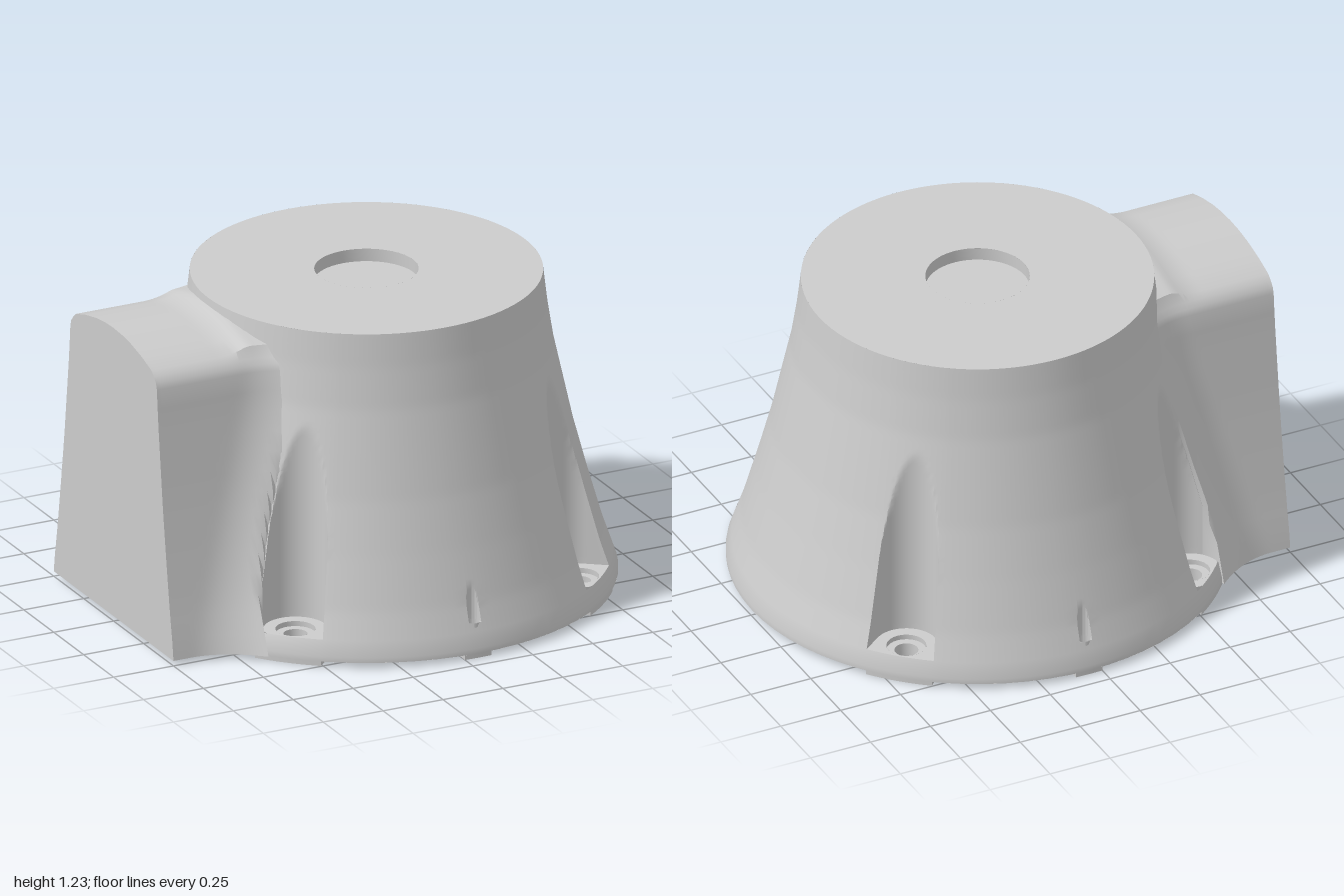
import * as THREE from 'three';
import { toCreasedNormals } from 'three/addons/utils/BufferGeometryUtils.js';

const CX = 0.055, BASE = 0.02, TOP = 1.23, RIM = 0.94;
const PROFILE = [[0.02, 0.94], [0.04, 0.94], [0.2, 0.885], [0.4, 0.828], [0.6, 0.775], [0.94, 0.7], [1.1, 0.675], [1.23, 0.66]];

// Radius of the flared body at height y
function radiusAt(y) {
  for (let i = 1; i < PROFILE.length; i++) {
    const [y0, r0] = PROFILE[i - 1], [y1, r1] = PROFILE[i];
    if (y <= y1) return r0 + (r1 - r0) * (y - y0) / (y1 - y0);
  }
  return PROFILE[PROFILE.length - 1][1];
}

// Vertical bores: four screw pockets and two small pin holes
const screws = [1, 3, 5, 7].map(k => ({ a: k * Math.PI / 4, d: 0.837, R: 0.12, hole: 0.045, pad: 0.13, y: 0.1, level: 1 }));
const pins = [1, 3].map(k => ({ a: k * Math.PI / 2, d: 0.89, R: 0.025, hole: 0.025, pad: 0.055, y: 0.13, level: 2 }));
const bores = [...screws, ...pins];
const centre = b => [b.d * Math.cos(b.a), b.d * Math.sin(b.a)];

const material = new THREE.MeshStandardMaterial({ color: 0xcccccc, side: THREE.DoubleSide });

function addMesh(parent, name, geometry, crease = 0.5) {
  const mesh = new THREE.Mesh(toCreasedNormals(geometry, crease), material);
  mesh.name = name;
  parent.add(mesh);
  return mesh;
}

// Surface through rows of points; keep(i) tells whether to join row i to row i + 1
function gridGeometry(rows, closed, keep = () => true) {
  const n = rows[0].length, index = [];
  for (let i = 0; i < rows.length - 1; i++) {
    if (!keep(i)) continue;
    for (let j = 0; j < (closed ? n : n - 1); j++) {
      const a = i * n + j, b = i * n + (j + 1) % n;
      index.push(a, a + n, b, b, a + n, b + n);
    }
  }
  const g = new THREE.BufferGeometry();
  g.setAttribute('position', new THREE.Float32BufferAttribute(rows.flat(2), 3));
  g.setIndex(index);
  g.computeVertexNormals();
  return g;
}

function circlePath(x, y, r) {
  return new THREE.Path().absarc(x, y, r, 0, Math.PI * 2, true);
}

// Flat shape laid in the ground plane at height y, centred on the body axis
function flat(shape, y, depth = 0) {
  const g = depth
    ? new THREE.ExtrudeGeometry(shape, { depth, bevelEnabled: false, curveSegments: 24 })
    : new THREE.ShapeGeometry(shape, 48);
  return g.rotateX(Math.PI / 2).translate(CX, y, 0);
}

// Flared shell with the bores cut into its side
function shellGeometry() {
  const angles = [];
  const inBore = t => bores.some(b => Math.abs(Math.atan2(Math.sin(t - b.a), Math.cos(t - b.a))) < Math.asin(b.R / b.d) + 0.002);
  for (let i = 0; i < 72; i++) if (!inBore(i * Math.PI / 36)) angles.push(i * Math.PI / 36);
  for (const b of bores) {
    const half = Math.asin(b.R / b.d);
    angles.push(b.a - half - 1e-4, b.a + half + 1e-4);
    for (let k = -10; k <= 10; k++) angles.push(b.a + Math.asin(b.R * 0.99999 * Math.sin(k * Math.PI / 20) / b.d));
  }
  angles.sort((p, q) => p - q);

  const levels = [[BASE, 0], [0.04, 0], [0.1, 0], [0.1, 1], [0.13, 1], [0.13, 2]];
  for (let i = 1; i <= 55; i++) levels.push([0.13 + 0.02 * i, 2]);
  const rows = levels.map(([y, level]) => angles.map(t => {
    let r = radiusAt(y);
    for (const b of bores) {
      const s = b.d * Math.sin(t - b.a), c = Math.cos(t - b.a);
      if (level >= b.level && c > 0 && Math.abs(s) < b.R) r = Math.min(r, b.d * c - Math.sqrt(b.R * b.R - s * s));
    }
    return [CX + r * Math.cos(t), y, r * Math.sin(t)];
  }));
  return gridGeometry(rows, true, i => levels[i][0] !== levels[i + 1][0]);
}

// Cross-section of the side housing at x, running up one side, over the arch and down
function housingSection(x) {
  const halfWidth = y => {
    const h = 0.35 + 0.15 * (radiusAt(y) - 0.66) / 0.28;
    const start = -0.93 + 0.28 * y;
    const t = Math.min(1, Math.max(0, (x - start) / 0.27));
    const [px, pz] = centre(screws[0]);
    const dx = x - (CX - px), R = screws[0].R;
    const limit = Math.abs(dx) < R ? pz - Math.sqrt(R * R - dx * dx) - 0.005 : 9;
    return Math.min(h + 0.13 * t * t, limit);
  };
  const half = [];
  for (let i = 0; i <= 14; i++) {
    const y = BASE + (1.06 - BASE) * i / 14;
    half.push([y, halfWidth(y)]);
  }
  const w = halfWidth(1.06);
  const rise = 0.025 * Math.max(0, (x + 0.72) / 0.12) ** 2;
  half.push([1.085, w - 0.008], [1.105, w - 0.025]);
  for (const s of [0.87, 0.65, 0.4, 0.2]) half.push([1.18 - 0.075 * s * s + Math.min(rise, 0.025), w * s]);
  const left = half.map(([y, z]) => [x, y, z]);
  const right = half.map(([y, z]) => [x, y, -z]).reverse();
  return [...left, [x, 1.18 + Math.min(rise, 0.025), 0], ...right];
}

export function createModel() {
  const model = new THREE.Group();
  model.name = 'flaredHousing';

  addMesh(model, 'shell', shellGeometry(), 0.6);

  // Top face with its shallow round recess
  const top = new THREE.Shape().absarc(0, 0, 0.66, 0, Math.PI * 2);
  top.holes.push(circlePath(0, 0, 0.195));
  addMesh(model, 'topFace', flat(top, TOP));
  const recess = [[0.195, TOP], [0.195, TOP - 0.05], [0, TOP - 0.05]].map(p => new THREE.Vector2(...p));
  addMesh(model, 'topRecess', new THREE.LatheGeometry(recess, 48).translate(CX, 0, 0));

  // Underside, pierced by the bores
  const under = new THREE.Shape().absarc(0, 0, RIM, 0, Math.PI * 2);
  for (const b of bores) under.holes.push(circlePath(...centre(b), b.hole));
  addMesh(model, 'underside', flat(under, BASE));

  // Side housing: skin, end plate and bottom
  const sections = [];
  for (let i = 0; i <= 30; i++) sections.push(housingSection(-1 + 0.56 * i / 30));
  addMesh(model, 'sideHousing', gridGeometry(sections, true), 0.6);
  const end = new THREE.Shape(sections[0].map(([, y, z]) => new THREE.Vector2(z, y)));
  addMesh(model, 'endPlate', new THREE.ShapeGeometry(end).rotateY(-Math.PI / 2).translate(-1, 0, 0));

  // Feet: tongues running from each bore out to the rim
  for (const b of bores) {
    const points = [];
    for (let i = 0; i <= 8; i++) {
      const v = b.pad * (i / 4 - 1);
      points.push([Math.sqrt(0.935 ** 2 - v * v), v]);
    }
    for (let i = 0; i <= 12; i++) {
      const t = Math.PI / 2 + Math.PI * i / 12;
      points.push([b.d + b.pad * Math.cos(t), b.pad * Math.sin(t)]);
    }
    const c = Math.cos(b.a), s = Math.sin(b.a);
    const foot = new THREE.Shape(points.map(([u, v]) => new THREE.Vector2(u * c - v * s, u * s + v * c)));
    foot.holes.push(circlePath(...centre(b), b.hole));
    addMesh(model, 'foot', flat(foot, BASE, BASE));
  }

  // Screw pocket floors with counterbored holes
  for (const b of screws) {
    const [x, z] = centre(b), limit = radiusAt(b.y), outline = [];
    for (let i = 0; i < 40; i++) {
      const p = new THREE.Vector2(x + b.R * Math.cos(i * Math.PI / 20), z + b.R * Math.sin(i * Math.PI / 20));
      outline.push(p.clampLength(0, limit));
    }
    const floor = new THREE.Shape(outline);
    floor.holes.push(circlePath(x, z, 0.075));
    addMesh(model, 'pocketFloor', flat(floor, b.y));
    const bore = [[0.075, 0.1], [0.075, 0.08], [b.hole, 0.08], [b.hole, 0]].map(p => new THREE.Vector2(...p));
    addMesh(model, 'screwHole', new THREE.LatheGeometry(bore, 24).translate(CX + x, 0, z));
  }

  // Pin hole walls
  for (const b of pins) {
    const [x, z] = centre(b);
    addMesh(model, 'pinHole', new THREE.CylinderGeometry(b.R, b.R, b.y, 20, 1, true).translate(CX + x, b.y / 2, z));
  }
  return model;
}
